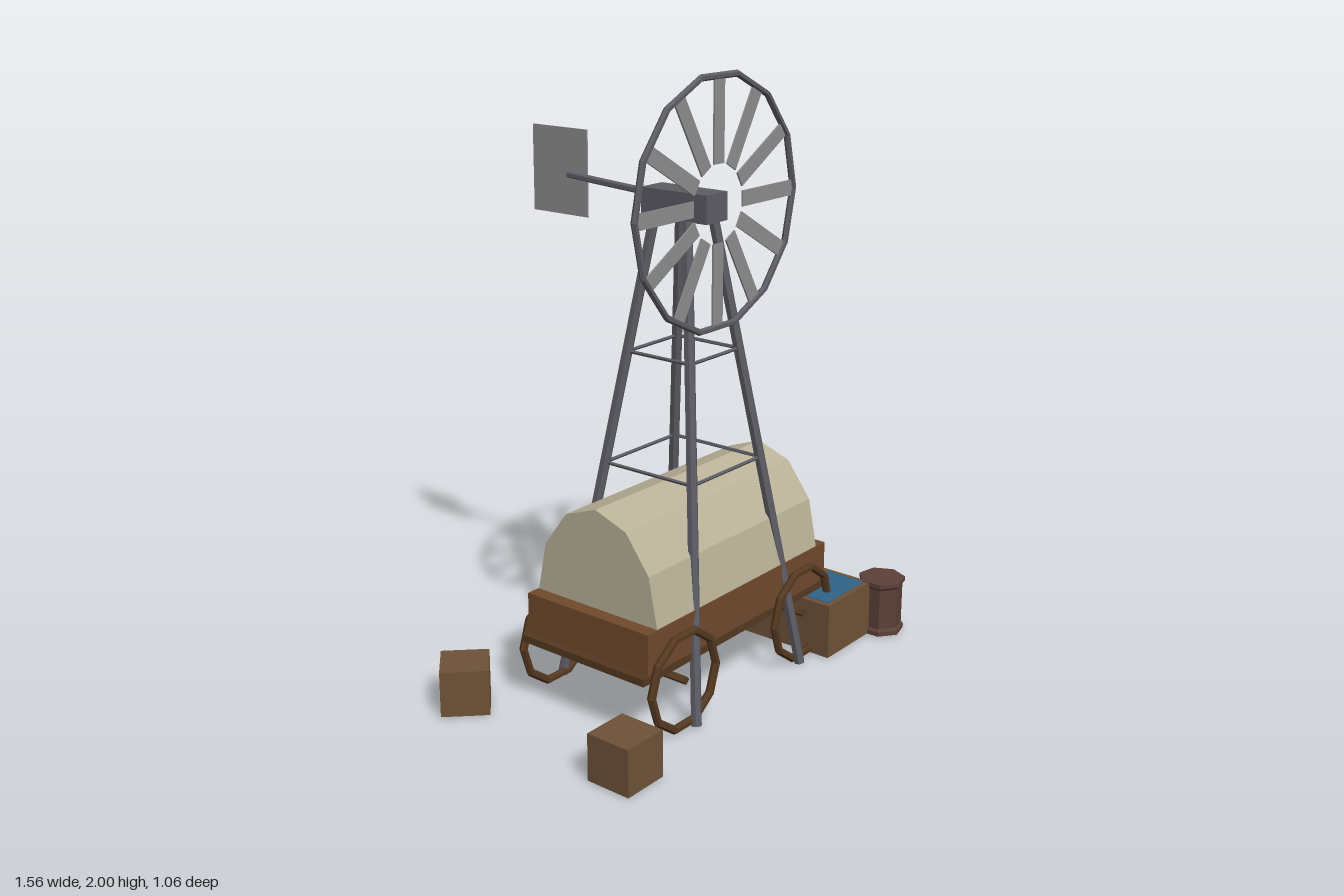
import * as THREE from 'three';

const mat = (color, side = THREE.FrontSide) =>
  new THREE.MeshStandardMaterial({ color, flatShading: true, side });
const steel = mat(0x5c5c64), blade = mat(0x8c8c8e, THREE.DoubleSide), wood = mat(0x70492c);
const darkWood = mat(0x543820), crateWood = mat(0x6e5238), barrelWood = mat(0x5c4038);
const canvasCloth = mat(0xbab298), water = mat(0x2f6488);

const CX = -0.027, CZ = 0.102; // tower axis

function add(parent, name, geometry, material, x = 0, y = 0, z = 0) {
  const mesh = new THREE.Mesh(geometry, material);
  mesh.name = name;
  mesh.position.set(x, y, z);
  parent.add(mesh);
  return mesh;
}

// straight rod between two points
function rod(parent, name, a, b, radius, material, sides = 6) {
  const p = new THREE.Vector3(...a), q = new THREE.Vector3(...b), d = q.clone().sub(p);
  const mesh = add(parent, name, new THREE.CylinderGeometry(radius, radius, d.length(), sides), material);
  mesh.position.copy(p).add(q).multiplyScalar(0.5);
  mesh.quaternion.setFromUnitVectors(new THREE.Vector3(0, 1, 0), d.normalize());
  return mesh;
}

function buildTower() {
  const g = new THREE.Group();
  g.name = 'tower';
  const topY = 1.55, spread = (y) => 0.285 - 0.22 * (y / topY);
  const corners = [[1, 1], [-1, 1], [-1, -1], [1, -1]];
  const at = ([sx, sz], y) => [CX + sx * spread(y), y, CZ + sz * spread(y)];
  corners.forEach((c, i) => {
    rod(g, 'towerLeg', at(c, 0.005), at(c, topY), 0.018, steel);
    for (const y of [0.75, 1.12])
      rod(g, 'towerBrace', at(c, y), at(corners[(i + 1) % 4], y), 0.006, steel, 5);
  });
  return g;
}

function buildWindHead() {
  const g = new THREE.Group();
  g.name = 'windHead';
  add(g, 'gearBox', new THREE.BoxGeometry(0.105, 0.09, 0.26), steel, CX, 1.59, 0.102);
  // fan wheel
  const fan = new THREE.Group();
  fan.name = 'fanWheel';
  fan.position.set(CX, 1.603, 0.236);
  add(fan, 'fanRim', new THREE.TorusGeometry(0.397, 0.011, 6, 14), steel);
  for (let i = 0; i < 12; i++) {
    const pivot = new THREE.Group();
    pivot.name = 'fanBlade';
    pivot.rotation.z = (i * Math.PI) / 6;
    add(pivot, 'bladePlate', new THREE.BoxGeometry(0.05, 0.268, 0.006), blade, 0, 0.257, 0);
    fan.add(pivot);
  }
  g.add(fan);
  // tail
  rod(g, 'tailBoom', [CX, 1.608, -0.02], [CX, 1.63, -0.38], 0.012, steel);
  add(g, 'tailVane', new THREE.BoxGeometry(0.005, 0.286, 0.238), blade, CX, 1.64, -0.415);
  return g;
}

function buildWagon() {
  const g = new THREE.Group();
  g.name = 'wagon';
  add(g, 'wagonFloor', new THREE.BoxGeometry(1.006, 0.024, 0.506), darkWood, CX, 0.225, 0.1);
  add(g, 'wagonBed', new THREE.BoxGeometry(0.952, 0.14, 0.496), wood, CX, 0.303, 0.1);

  // arched cover, six facets over the bed
  const arch = new THREE.Shape();
  for (let i = 0; i <= 6; i++) {
    const a = (i * Math.PI) / 6, u = 0.245 * Math.cos(a), v = 0.33 * Math.sin(a);
    if (i) arch.lineTo(u, v); else arch.moveTo(u, v);
  }
  const cover = new THREE.ExtrudeGeometry(arch, { depth: 0.855, bevelEnabled: false });
  cover.rotateY(Math.PI / 2);
  add(g, 'canvasCover', cover, canvasCloth, -0.455, 0.372, 0.1);

  // axles and wheel hoops
  for (const x of [-0.35, 0.29]) {
    rod(g, 'axle', [x, 0.172, -0.175], [x, 0.172, 0.375], 0.015, darkWood, 4);
    for (const z of [-0.168, 0.368])
      add(g, 'wagonWheel', new THREE.TorusGeometry(0.16, 0.014, 6, 10), darkWood, x, 0.172, z);
  }
  rod(g, 'drawPole', [0.42, 0.225, 0.095], [0.77, 0.067, 0.154], 0.016, darkWood);
  return g;
}

function buildGoods() {
  const g = new THREE.Group();
  g.name = 'groundGoods';
  // water trough
  add(g, 'trough', new THREE.BoxGeometry(0.266, 0.192, 0.476), crateWood, 0.477, 0.1, 0.205);
  add(g, 'troughWater', new THREE.BoxGeometry(0.226, 0.004, 0.436), water, 0.477, 0.196, 0.205);
  // barrel with raised end hoops
  const profile = [[0, 0], [0.082, 0], [0.082, 0.015], [0.074, 0.025], [0.074, 0.17],
    [0.082, 0.18], [0.082, 0.195], [0, 0.195]].map(([r, y]) => new THREE.Vector2(r, y));
  const barrel = add(g, 'barrel', new THREE.LatheGeometry(profile, 7), barrelWood, 0.668, 0.004, 0.45);
  barrel.rotation.y = -0.2;
  // crates: x, z, turn
  for (const [x, z, turn] of [[-0.695, 0.42, 0], [-0.67, -0.275, 0.78], [0.612, -0.248, 0.36]]) {
    const crate = add(g, 'crate', new THREE.BoxGeometry(0.157, 0.155, 0.157), crateWood, x, 0.082, z);
    crate.rotation.y = turn;
  }
  return g;
}

export function createModel() {
  const model = new THREE.Group();
  model.name = 'windPumpWagon';
  model.add(buildTower(), buildWindHead(), buildWagon(), buildGoods());
  return model;
}
